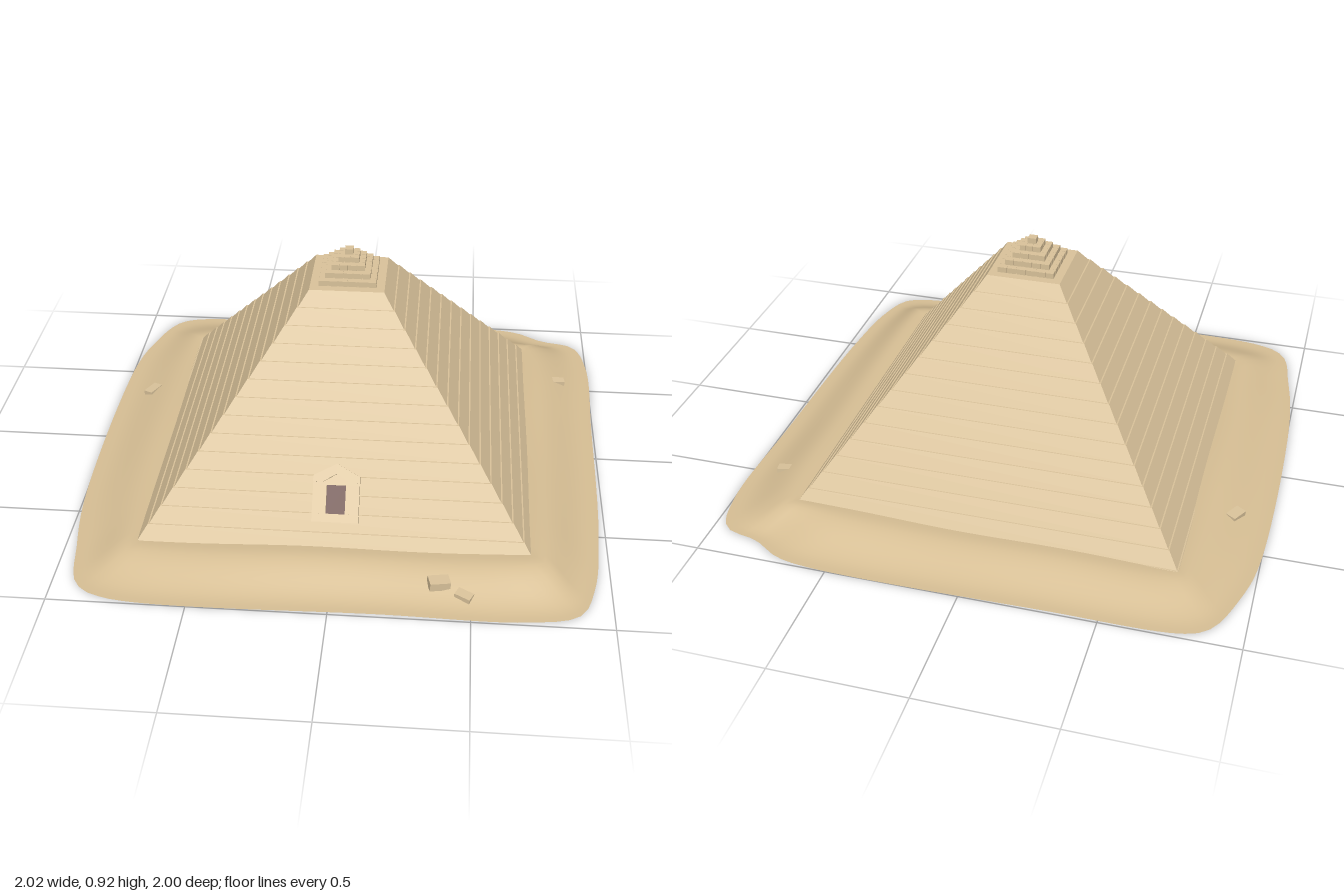
import * as THREE from 'three';

const mat = (name, color, side = THREE.FrontSide, flatShading = false) => {
  const m = new THREE.MeshStandardMaterial({ color, side, flatShading });
  m.name = name;
  return m;
};

export function createModel() {
  const stone = mat('limestone', 0xd9c29a, THREE.FrontSide, true);
  const sandMat = mat('sand', 0xd6be94, THREE.DoubleSide);
  const doorMat = mat('dark door', 0x67453f);
  const root = new THREE.Group();
  root.name = 'pyramid';

  const add = (parent, name, geometry, material, x = 0, y = 0, z = 0) => {
    const mesh = new THREE.Mesh(geometry, material);
    mesh.name = name;
    mesh.position.set(x, y, z);
    parent.add(mesh);
    return mesh;
  };

  // Body: fifteen sloping courses, each set back by a fine ledge
  const COURSES = 15, TOP = 0.81, LEDGE = 0.005;
  const half = y => 0.767 - 0.78 * y;
  const profile = [new THREE.Vector2(0, 0)];
  for (let i = 0; i < COURSES; i++) {
    const y0 = (TOP * i) / COURSES, y1 = (TOP * (i + 1)) / COURSES;
    profile.push(new THREE.Vector2(half(y0) * Math.SQRT2, y0));
    profile.push(new THREE.Vector2((half(y1) + LEDGE) * Math.SQRT2, y1));
  }
  profile.push(new THREE.Vector2(0, TOP));
  add(root, 'pyramidBody', new THREE.LatheGeometry(profile, 4, Math.PI / 4), stone);

  // Summit: shrinking layers of separate blocks around a solid core
  const summit = new THREE.Group();
  summit.name = 'summitBlocks';
  root.add(summit);
  const layerH = 0.022, gap = 0.004;
  [0.11, 0.087, 0.064, 0.041].forEach((r, layer) => {
    const y = TOP + layerH * (layer + 0.5);
    const depth = 0.032, run = 2 * r - depth, count = 5 - layer;
    add(summit, 'summitCore', new THREE.BoxGeometry(2 * r - 0.012, layerH - 0.002, 2 * r - 0.012), stone, 0, y, 0);
    for (let side = 0; side < 4; side++) {
      const row = new THREE.Group();
      row.name = 'blockRow';
      row.rotation.y = (side * Math.PI) / 2;
      summit.add(row);
      for (let i = 0; i < count; i++) {
        const len = run / count;
        add(row, 'summitBlock', new THREE.BoxGeometry(len - gap, layerH - 0.001, depth - gap),
          stone, -r + len * (i + 0.5), y, r - depth / 2);
      }
    }
  });
  add(summit, 'topBlock', new THREE.BoxGeometry(0.032, layerH, 0.032), stone, 0, TOP + layerH * 4.5, 0);

  // Sand drift: rings blended from a square under the body to a wavy outline
  const outline = new THREE.CatmullRomCurve3([
    [-0.8, -0.975], [-0.3, -0.99], [0.55, -0.995], [0.7, -0.97], [0.81, -0.905], [0.95, -0.86],
    [1, -0.7], [0.995, -0.2], [0.975, 0.5], [0.94, 0.8], [0.88, 0.94], [0.7, 0.985], [0.2, 0.985],
    [-0.8, 0.975], [-0.91, 0.91], [-0.96, 0.7], [-1, 0.4], [-0.998, -0.55], [-0.96, -0.74], [-0.88, -0.93],
  ].map(([x, z]) => new THREE.Vector3(x, 0, z)), true, 'centripetal');
  const SEG = 160, RINGS = 14;
  const rim = outline.getSpacedPoints(SEG);
  const pos = [], index = [];
  for (let i = 0; i < SEG; i++) {
    const p = rim[i], m = Math.max(Math.abs(p.x), Math.abs(p.z));
    const crest = 0.065 + 0.007 * p.x + 0.003 * p.z + 0.003 * Math.sin(5 * p.x - 4 * p.z);
    for (let j = 0; j <= RINGS; j++) {
      const u = j / RINGS, k = THREE.MathUtils.lerp(0.7 / m, 1, u);
      const fall = 1 - THREE.MathUtils.smoothstep(u, 0.2, 0.92);
      const swell = 0.92 + 0.08 * Math.sin(Math.min(u / 0.25, 1) * Math.PI / 2);
      pos.push(p.x * k, crest * fall * swell, p.z * k);
      if (j < RINGS) {
        const a = i * (RINGS + 1) + j, b = ((i + 1) % SEG) * (RINGS + 1) + j;
        index.push(a, b, a + 1, b, b + 1, a + 1);
      }
    }
  }
  const sandGeo = new THREE.BufferGeometry();
  sandGeo.setAttribute('position', new THREE.Float32BufferAttribute(pos, 3));
  // Clockwise outline seen from above, so flip if the normals point down
  sandGeo.setIndex(index);
  sandGeo.computeVertexNormals();
  if (sandGeo.attributes.normal.getY(2) < 0) {
    sandGeo.setIndex(index.reverse());
    sandGeo.computeVertexNormals();
  }
  add(root, 'sandDrift', sandGeo, sandMat);

  // Entrance: gabled frame lying on the front slope
  const entrance = new THREE.Group();
  entrance.name = 'entrance';
  entrance.position.set(0, 0.137, half(0.137));
  entrance.rotation.x = -Math.atan(0.78);
  root.add(entrance);
  const plate = (name, points, depth, material, z = 0) => {
    const shape = new THREE.Shape(points.map(([x, y]) => new THREE.Vector2(x, y)));
    return add(entrance, name, new THREE.ExtrudeGeometry(shape, { depth, bevelEnabled: false }), material, 0, 0, z);
  };
  plate('backPlate', [[-0.08, 0], [0.08, 0], [0.08, 0.16], [0, 0.2], [-0.08, 0.16]], 0.016, stone, -0.005);
  plate('sill', [[-0.085, 0], [0.085, 0], [0.085, 0.03], [-0.085, 0.03]], 0.03, stone);
  plate('lintel', [[-0.085, 0.134], [0.085, 0.134], [0.085, 0.152], [-0.085, 0.152]], 0.024, stone);
  plate('gable', [[-0.085, 0.145], [-0.05, 0.145], [0, 0.175], [0.05, 0.145], [0.085, 0.145],
    [0.085, 0.167], [0, 0.212], [-0.085, 0.167]], 0.034, stone);
  for (const s of [-1, 1]) {
    add(entrance, 'doorJamb', new THREE.BoxGeometry(0.05, 0.105, 0.028), stone, s * 0.06, 0.082, 0.014);
  }
  add(entrance, 'door', new THREE.BoxGeometry(0.07, 0.104, 0.006), doorMat, 0, 0.082, 0.013);

  // Fallen blocks resting on the sand: x, y, z, width, height, depth, turn
  [
    [0.385, 0.045, 0.855, 0.075, 0.032, 0.048, 0.25],
    [0.475, 0.022, 0.89, 0.06, 0.02, 0.038, -0.45],
    [-0.875, 0.026, -0.32, 0.042, 0.026, 0.07, -0.5],
    [0.865, 0.036, -0.51, 0.058, 0.024, 0.036, 0.12],
  ].forEach(([x, y, z, w, h, d, turn]) => {
    const block = add(root, 'fallenBlock', new THREE.BoxGeometry(w, h, d), stone, x, y, z);
    block.rotation.set(0.04, turn, x < 0 ? 0.12 : -0.08);
  });

  return root;
}
